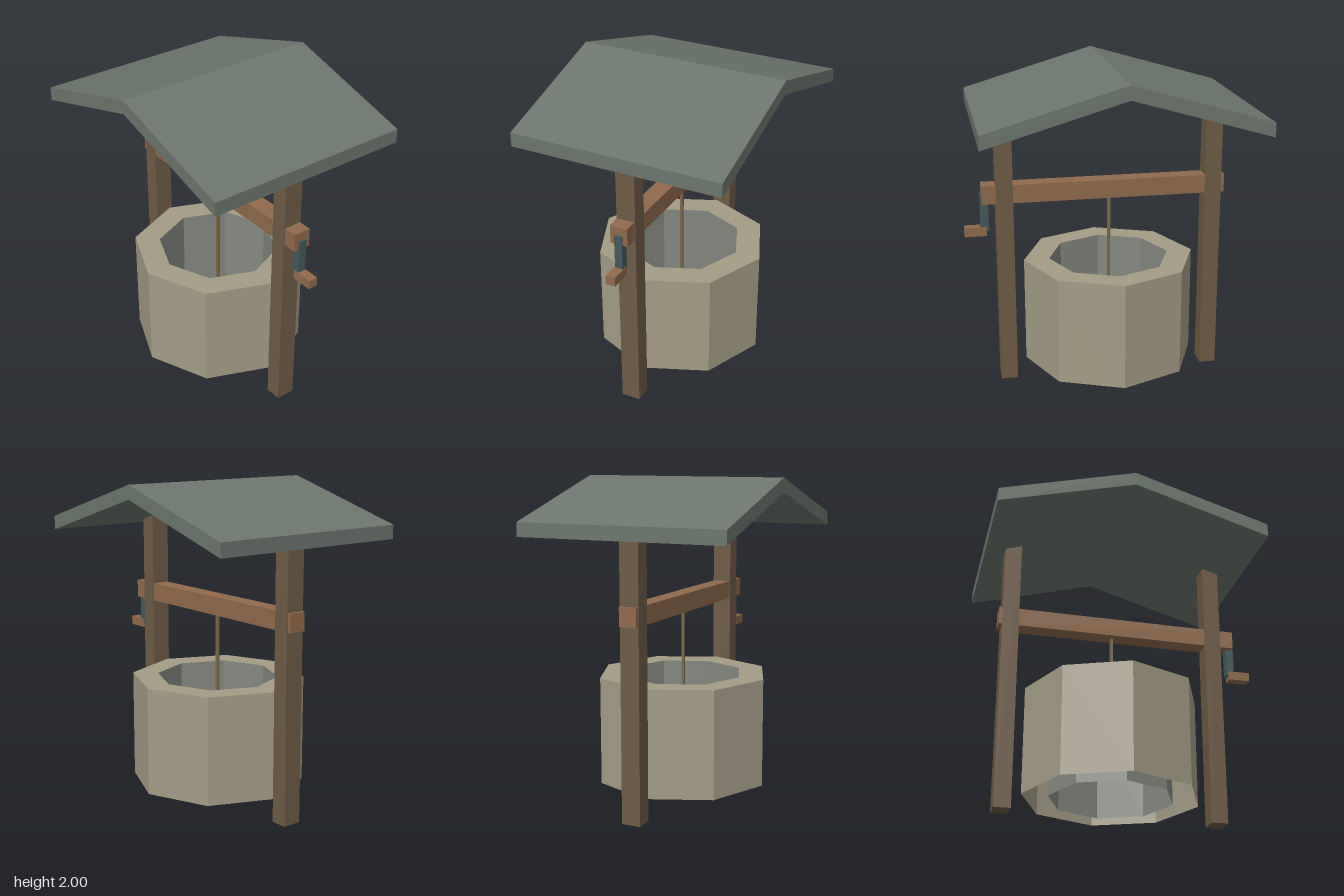
import * as THREE from 'three';

const CX = -0.033; // centre line of the well, roof and posts

export function createModel() {
  const group = new THREE.Group();
  const mat = (color, side = THREE.FrontSide) =>
    new THREE.MeshStandardMaterial({ color, side, flatShading: true });
  const postWood = mat(0x6e5b45);
  const beamWood = mat(0x8f6a4b);
  const metal = mat(0x43585a);
  const ropeMat = mat(0x7a6a4c);

  const add = (name, geometry, material) => {
    const mesh = new THREE.Mesh(geometry, material);
    mesh.name = name;
    group.add(mesh);
    return mesh;
  };
  // Box given by its x and y limits and its depth, centred on z = 0
  const box = (name, x0, x1, y0, y1, depth, material) =>
    add(name, new THREE.BoxGeometry(x1 - x0, y1 - y0, depth), material)
      .position.set((x0 + x1) / 2, (y0 + y1) / 2, 0);

  // Octagonal well wall: outer side and flat rim, then inner lining; open below
  const ring = (name, points, color) => {
    const profile = points.map(([r, y]) => new THREE.Vector2(r, y));
    add(name, new THREE.LatheGeometry(profile, 8), mat(color, THREE.DoubleSide)).position.x = CX;
  };
  ring('wellWall', [[0.54, 0.11], [0.54, 0.78], [0.38, 0.78]], 0xa39c86);
  ring('wellLining', [[0.38, 0.78], [0.38, 0.11]], 0x858880);

  // Posts, reaching just into the roof
  for (const side of [-1, 1]) {
    const x = CX + side * 0.655;
    box(side < 0 ? 'rightPost' : 'leftPost', x - 0.052, x + 0.052, 0, 1.74, 0.12, postWood);
  }

  // Winding beam, rope and crank
  box('beam', -0.76, 0.76, 1.175, 1.29, 0.11, beamWood);
  box('rope', CX - 0.009, CX + 0.009, 0.45, 1.18, 0.018, ropeMat);
  box('crankArm', 0.72, 0.77, 0.995, 1.235, 0.05, metal);
  box('crankHandle', 0.735, 0.87, 0.965, 1.022, 0.06, beamWood);

  // Gabled roof: bent slab with upright eaves
  const outline = [[-0.838, 1.67], [0, 1.915], [0.838, 1.67], [0.838, 1.755], [0, 2], [-0.838, 1.755]];
  const roof = new THREE.ExtrudeGeometry(
    new THREE.Shape(outline.map(([x, y]) => new THREE.Vector2(x, y))),
    { depth: 1.306, bevelEnabled: false });
  add('roof', roof, mat(0x6b756d)).position.set(CX, 0, -0.653);

  return group;
}
